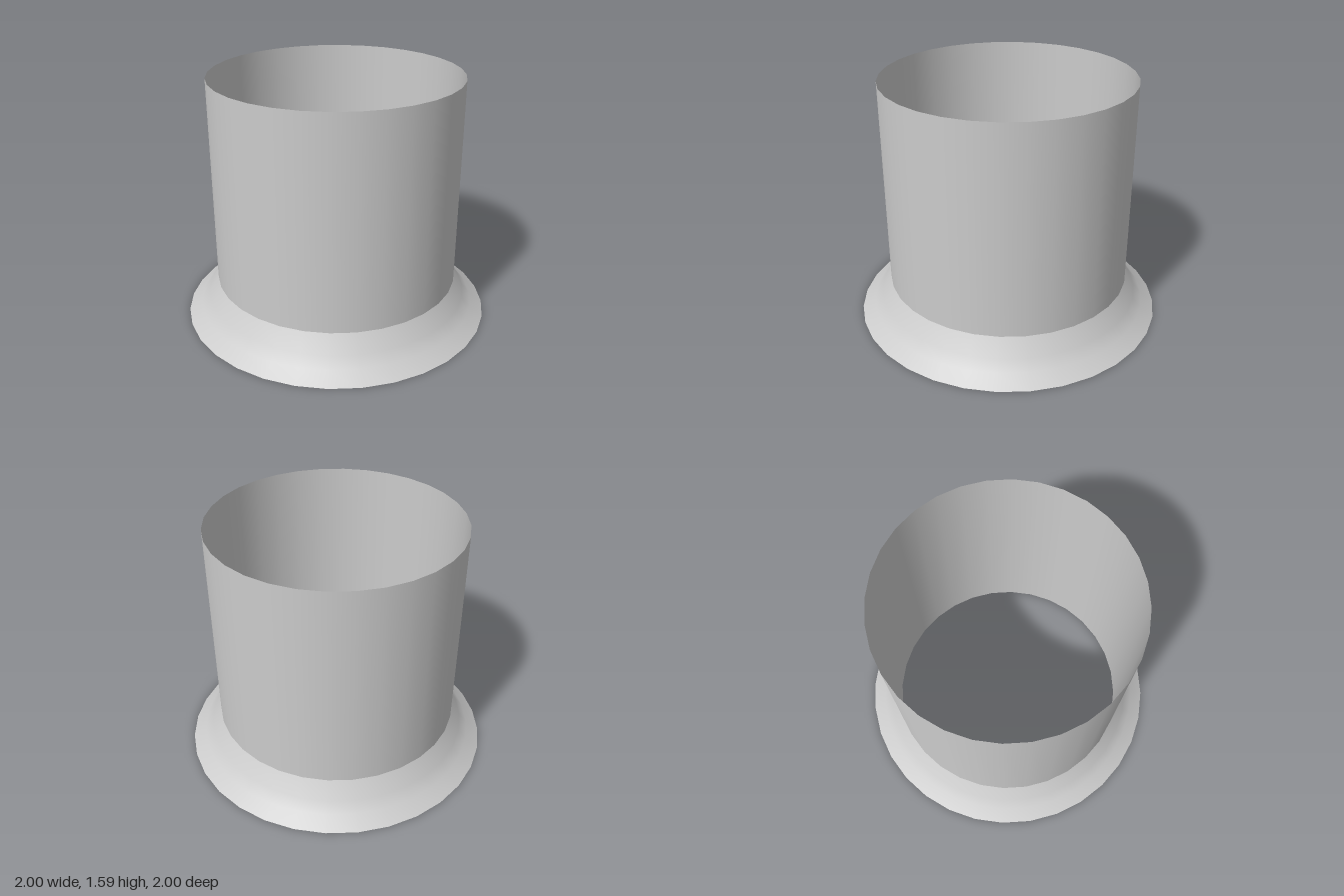
import * as THREE from 'three';

const SIDES = 32;
const PIPE_RADIUS = 0.795;
const PIPE_HEIGHT = 1.59;

// Thin open surface turned around the y axis from [radius, height] points
function turned(name, profile, material) {
  const points = profile.map(([r, y]) => new THREE.Vector2(r, y));
  const mesh = new THREE.Mesh(new THREE.LatheGeometry(points, SIDES), material);
  mesh.name = name;
  return mesh;
}

export function createModel() {
  const group = new THREE.Group();
  group.name = 'flaredPipe';
  const material = new THREE.MeshStandardMaterial({ color: 0xcccccc, side: THREE.DoubleSide });

  // Open pipe running all the way down inside the skirt
  group.add(turned('pipe', [[PIPE_RADIUS, 0], [PIPE_RADIUS, PIPE_HEIGHT]], material));

  // Concave skirt flaring out to the ground, open underneath
  group.add(turned('flaredSkirt', [
    [1, 0], [0.914, 0.065], [0.86, 0.13], [PIPE_RADIUS, 0.24],
  ], material));

  return group;
}
